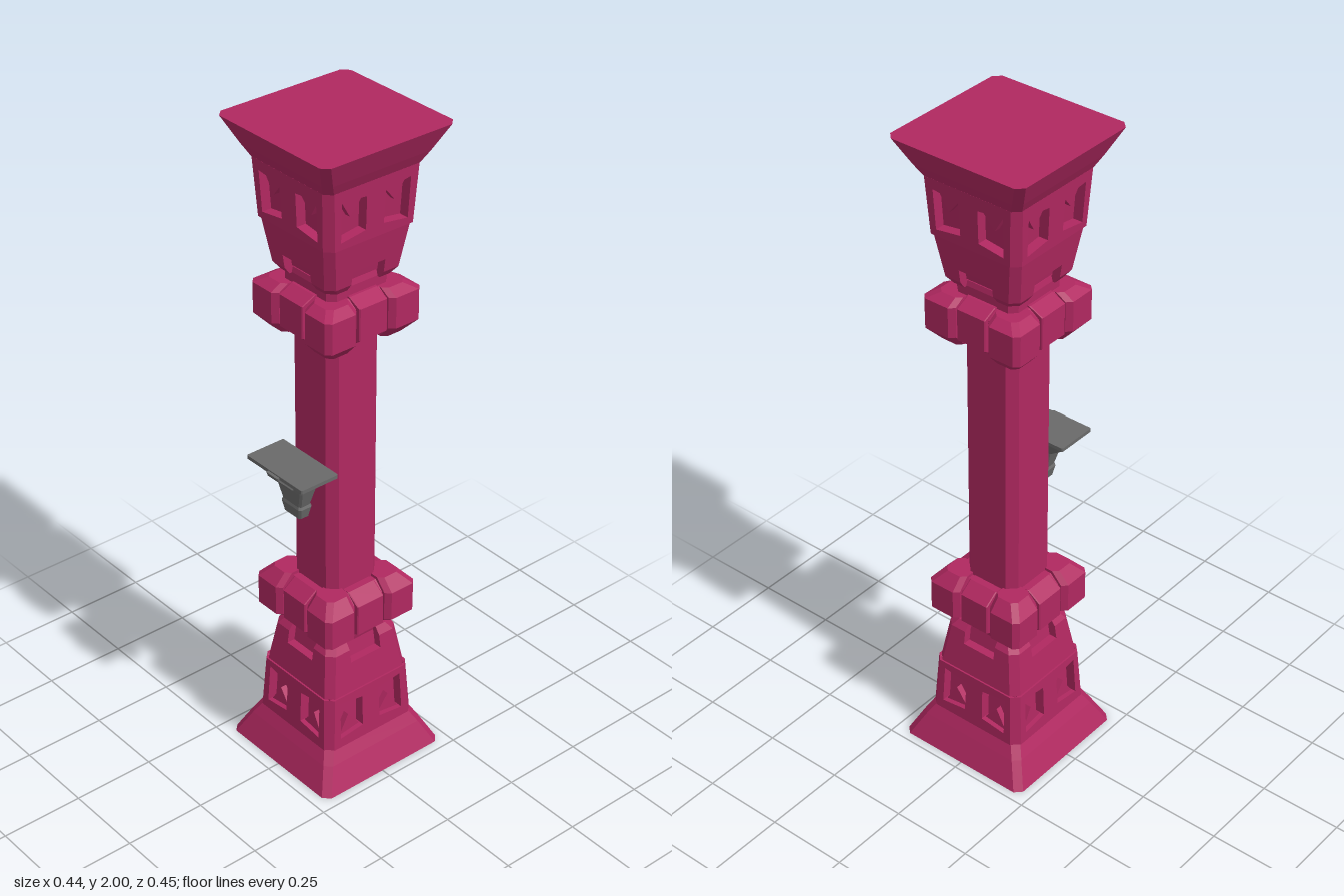
import * as THREE from 'three';

const RED = new THREE.MeshStandardMaterial({ color: 0xb02860, flatShading: true });
const GREY = new THREE.MeshStandardMaterial({ color: 0x6a6a6a, flatShading: true });

// Chamfered rectangle, counter-clockwise seen from below
function ring([y, hx, hz, c = 0.003, cx = 0, cz = 0]) {
  return [
    [hx, hz - c], [hx - c, hz], [c - hx, hz], [-hx, hz - c],
    [-hx, c - hz], [c - hx, -hz], [hx - c, -hz], [hx, c - hz],
  ].map(([x, z]) => [x + cx, y, z + cz]);
}

// Closed solid through a stack of rings, lowest first
function loft(sections) {
  const rings = sections.map(ring), pos = [];
  const tri = (a, b, c) => pos.push(...a, ...b, ...c);
  for (let k = 0; k < rings.length - 1; k++) {
    const lo = rings[k], hi = rings[k + 1];
    for (let i = 0; i < 8; i++) {
      const j = (i + 1) % 8;
      tri(lo[i], hi[i], hi[j]);
      tri(lo[i], hi[j], lo[j]);
    }
  }
  const bottom = rings[0], top = rings[rings.length - 1];
  for (let i = 1; i < 7; i++) {
    tri(bottom[0], bottom[i], bottom[i + 1]);
    tri(top[0], top[i + 1], top[i]);
  }
  const g = new THREE.BufferGeometry();
  g.setAttribute('position', new THREE.Float32BufferAttribute(pos, 3));
  g.computeVertexNormals();
  return g;
}

const square = (rows) => loft(rows.map(([y, h, c]) => [y, h, h, c]));
const polygon = (pts) => new THREE.Shape(pts.map(([x, y]) => new THREE.Vector2(x, y)));

const CHAMFER = 0.022, DEPTH = 0.03;

// Flat shape bent onto a leaning pillar face; outer edges close the corner chamfer
function facePanel(shapes, [y0, h0], [y1, h1], depth = DEPTH) {
  const g = new THREE.ExtrudeGeometry(shapes, { depth: 1, bevelEnabled: false });
  const p = g.attributes.position;
  for (let i = 0; i < p.count; i++) {
    const x = p.getX(i), h = h0 + (h1 - h0) * (p.getY(i) - y0) / (y1 - y0);
    const edge = Math.abs(x) > h - CHAMFER - 1e-4;
    if (p.getZ(i) > 0.5) p.setZ(i, h);
    else if (edge) {
      p.setX(i, Math.sign(x) * (h - CHAMFER / 2));
      p.setZ(i, h - CHAMFER / 2);
    } else p.setZ(i, h - depth);
  }
  g.computeVertexNormals();
  return g;
}

// Upside-down copy about y = 1, with the winding restored
function flipped(src) {
  const g = src.clone(), p = g.attributes.position, v = src.attributes.position;
  for (let i = 0; i < p.count; i++) {
    const k = i % 3 === 0 ? i : i % 3 === 1 ? i + 1 : i - 1;
    p.setXYZ(i, v.getX(k), 2 - v.getY(k), v.getZ(k));
  }
  g.computeVertexNormals();
  return g;
}

// Pillar end, as named geometries standing on y = 0
function endParts() {
  const parts = [];
  const add = (name, g) => parts.push([name, g]);
  const onFaces = (name, g) => {
    for (let i = 0; i < 4; i++) add(name, g.clone().rotateY(i * Math.PI / 2));
  };

  add('slab', square([[0, 0.219, 0.02], [0.075, 0.182, 0.02], [0.115, 0.16, 0.02]]));
  add('core', square([[0.1, 0.163 - DEPTH], [0.28, 0.15 - DEPTH], [0.415, 0.127 - DEPTH]]));
  add('neck', square([[0.415, 0.1, 0.02], [0.43, 0.104, 0.02], [0.48, 0.104, 0.02]]));

  // Lower wall with two windows
  const a = [0.11, 0.163], b = [0.28, 0.153], c = [0.41, 0.128], d = [0.432, 0.112];
  const e = ([, h]) => h - CHAMFER;
  const wall = polygon([[-e(a), a[0]], [e(a), a[0]], [e(b), b[0]], [-e(b), b[0]]]);
  const wedges = [];
  for (const s of [-1, 1]) {
    wall.holes.push(polygon([[s * 0.032, 0.15], [s * 0.115, 0.14], [s * 0.112, 0.26], [s * 0.03, 0.248]]));
    wedges.push(polygon([[s * 0.036, 0.152], [s * 0.11, 0.142], [s * 0.075, 0.2]]));
  }
  onFaces('windowWall', facePanel(wall, a, b));
  onFaces('windowWedge', facePanel(wedges, [0.11, 0.15], [0.28, 0.14], 0.02));

  // Upper wall with a notch in its top edge and bevelled shoulders
  const u = [0.28, 0.148], n = 0.055;
  onFaces('upperWall', facePanel(polygon([
    [-e(u), u[0]], [e(u), u[0]], [e(c), c[0]], [n, c[0]],
    [n, 0.37], [-n, 0.37], [-n, c[0]], [-e(c), c[0]],
  ]), u, c, 0.025));
  onFaces('shoulder', facePanel([-1, 1].map((s) => polygon([
    [s * n, c[0]], [s * e(c), c[0]], [s * e(d), d[0]], [s * n, d[0]],
  ])), c, d, 0.025));

  // Collar: core, centre blocks and corner blocks
  add('collarCore', square([[0.46, 0.11, 0.01], [0.48, 0.138, 0.01], [0.57, 0.138, 0.01], [0.598, 0.11, 0.01]]));
  const mid = [[0.455, 0.112], [0.475, 0.154], [0.57, 0.154], [0.6, 0.112]];
  add('collarCentre', loft(mid.map(([y, h]) => [y, 0.048, h])));
  add('collarCentre', loft(mid.map(([y, h]) => [y, h, 0.048])));
  for (const sx of [-1, 1]) for (const sz of [-1, 1]) {
    add('collarCorner', loft([[0.46, 0.132], [0.478, 0.163], [0.57, 0.163], [0.607, 0.13]].map(([y, o]) => {
      const h = (o - 0.055) / 2, m = (o + 0.055) / 2;
      return [y, h, h, 0.015, sx * m, sz * m];
    })));
  }
  return parts;
}

export function createModel() {
  const model = new THREE.Group();
  const mesh = (parent, name, g, mat) => {
    const m = new THREE.Mesh(g, mat);
    m.name = name;
    parent.add(m);
  };

  const pillar = new THREE.Group();
  pillar.name = 'pillar';
  pillar.position.z = -0.005;
  const base = new THREE.Group(), capital = new THREE.Group();
  base.name = 'base';
  capital.name = 'capital';
  for (const [name, g] of endParts()) {
    mesh(base, name, g, RED);
    mesh(capital, name, flipped(g), RED);
  }
  pillar.add(base, capital);
  mesh(pillar, 'shaft', square([[0.58, 0.09, 0.026], [1.42, 0.09, 0.026]]), RED);
  model.add(pillar);

  // Wall bracket on the front: [y, half width, half depth, chamfer, x, z]
  const sconce = new THREE.Group();
  sconce.name = 'sconce';
  mesh(sconce, 'dish', loft([
    [0.965, 0.065, 0.033, 0.003, 0, 0.133], [1.0, 0.11, 0.06, 0.003, 0, 0.147],
    [1.005, 0.118, 0.064, 0.003, 0, 0.149], [1.016, 0.118, 0.064, 0.003, 0, 0.149],
  ]), GREY);
  mesh(sconce, 'frontTab', loft([
    [0.95, 0.022, 0.012, 0.003, 0, 0.158], [1.0, 0.024, 0.012, 0.003, 0, 0.206],
    [1.012, 0.024, 0.012, 0.003, 0, 0.21],
  ]), GREY);
  mesh(sconce, 'stem', loft([
    [0.893, 0.038, 0.02, 0.006, 0, 0.135], [0.945, 0.053, 0.028, 0.006, 0, 0.135],
    [0.97, 0.06, 0.032, 0.006, 0, 0.133],
  ]), GREY);
  mesh(sconce, 'foot', loft([
    [0.855, 0.035, 0.018, 0.006, 0, 0.135], [0.887, 0.042, 0.023, 0.006, 0, 0.135],
    [0.896, 0.038, 0.02, 0.006, 0, 0.135],
  ]), GREY);
  model.add(sconce);
  return model;
}
